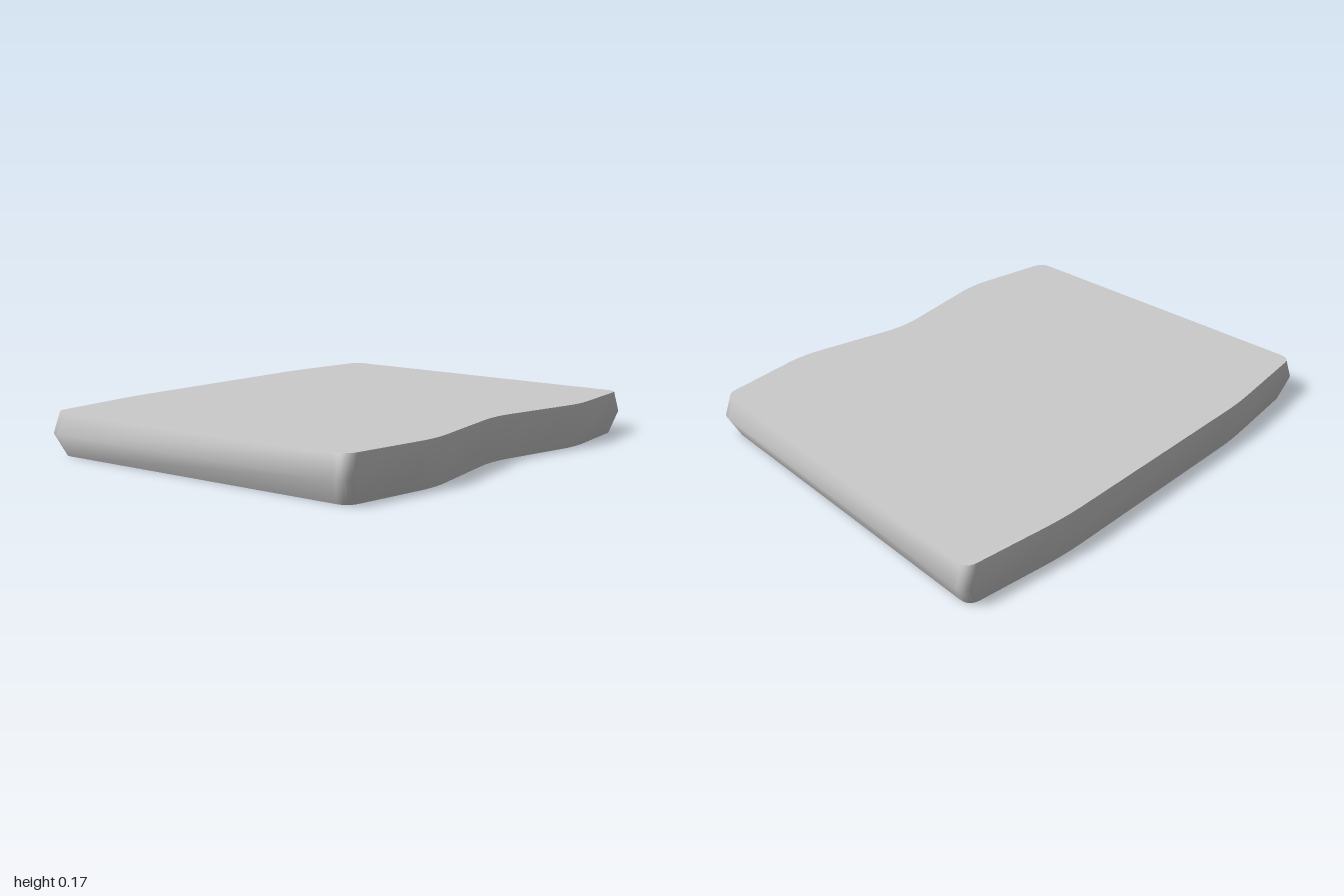
import * as THREE from 'three';

// Outline corners seen from above: x, z, rounding length
const CORNERS = [
  [-1.003, -0.69, 0.05], [-0.53, -0.762, 0.08], [0.55, -0.808, 0.1],
  [1.002, -0.775, 0.05], [0.917, 0.752, 0.05], [0.49, 0.807, 0.08],
  [-0.01, 0.71, 0.1], [-0.53, 0.807, 0.08], [-0.957, 0.75, 0.05],
];

// Height and x / z scale of each level of the slab
const LEVELS = [
  { y: 0, sx: 0.953, sz: 0.972 },
  { y: 0.09, sx: 1, sz: 1 },
  { y: 0.175, sx: 0.973, sz: 0.986 },
];

// Rounds every corner of the outline with a short curve
function roundedOutline() {
  const pts = CORNERS.map(([x, z]) => new THREE.Vector2(x, z));
  const n = pts.length;
  return pts.flatMap((p, i) => {
    const r = CORNERS[i][2];
    const toward = (q) => q.clone().sub(p).setLength(r).add(p);
    const start = toward(pts[(i + n - 1) % n]);
    const end = toward(pts[(i + 1) % n]);
    return new THREE.QuadraticBezierCurve(start, p, end).getPoints(6);
  });
}

// Smooth bulging wall through all levels
function wallGeometry(outline) {
  const n = outline.length;
  const position = [];
  const index = [];
  for (const { y, sx, sz } of LEVELS) {
    for (const p of outline) position.push(p.x * sx, y, p.y * sz);
  }
  for (let level = 0; level < LEVELS.length - 1; level++) {
    for (let i = 0; i < n; i++) {
      const a = level * n + i;
      const b = level * n + ((i + 1) % n);
      index.push(a, a + n, b, b, a + n, b + n);
    }
  }
  const geometry = new THREE.BufferGeometry();
  geometry.setAttribute('position', new THREE.Float32BufferAttribute(position, 3));
  geometry.setIndex(index);
  geometry.computeVertexNormals();
  return geometry;
}

// Flat face closing a level; up is 1 for the top and -1 for the bottom
function capGeometry(outline, { y, sx, sz }, up) {
  const shape = new THREE.Shape(outline.map((p) => new THREE.Vector2(p.x * sx, -up * p.y * sz)));
  return new THREE.ShapeGeometry(shape).rotateX(-up * Math.PI / 2).translate(0, y, 0);
}

export function createModel() {
  const group = new THREE.Group();
  group.name = 'cushion';
  const material = new THREE.MeshStandardMaterial({ color: 0xcccccc });
  const outline = roundedOutline();
  const add = (name, geometry) => {
    const mesh = new THREE.Mesh(geometry, material);
    mesh.name = name;
    group.add(mesh);
  };
  add('sideWall', wallGeometry(outline));
  add('topFace', capGeometry(outline, LEVELS[2], 1));
  add('bottomFace', capGeometry(outline, LEVELS[0], -1));
  return group;
}
